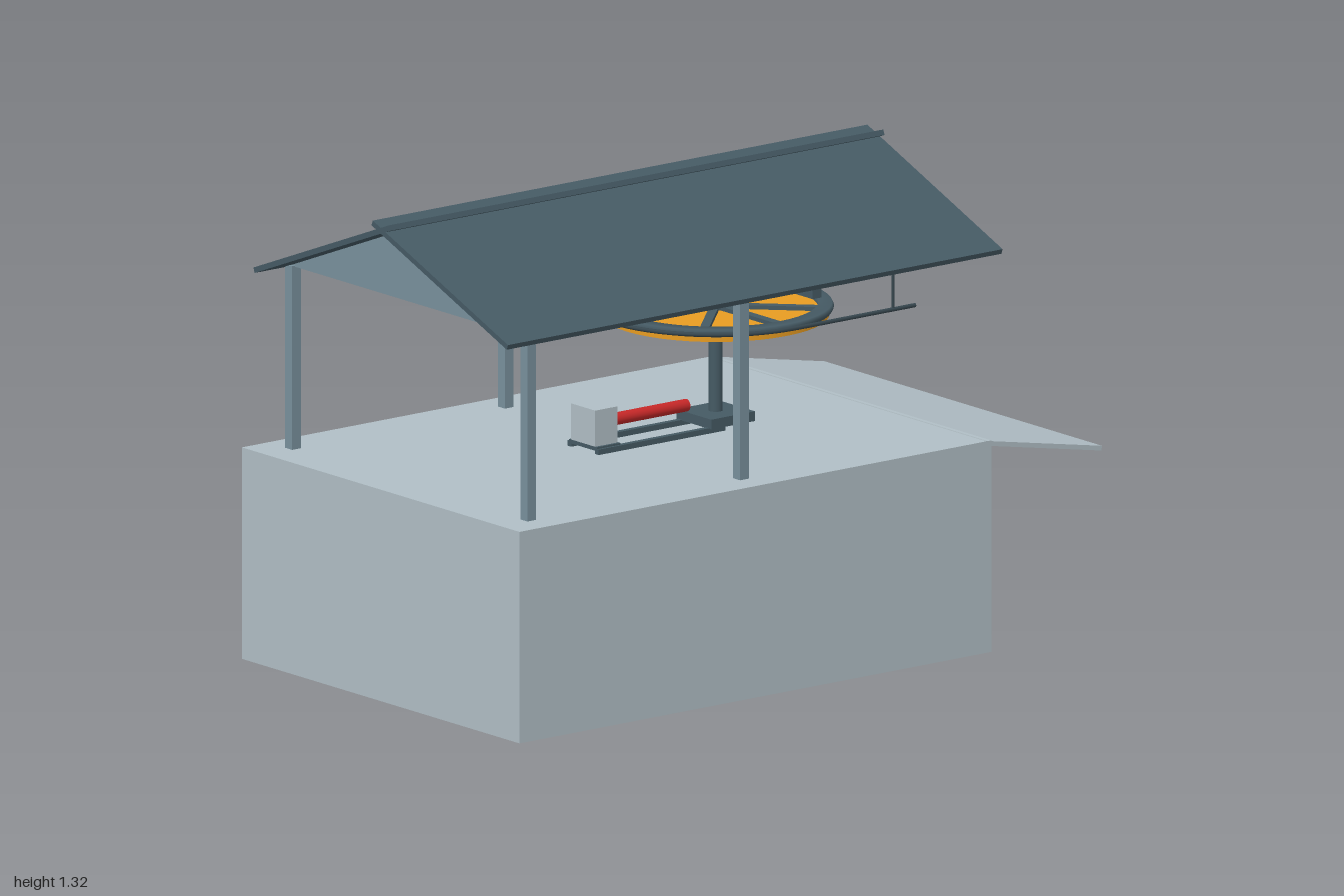
import * as THREE from 'three';

const mat = (name, color, side = THREE.FrontSide) => {
  const m = new THREE.MeshStandardMaterial({ color, side });
  m.name = name;
  return m;
};

export function createModel() {
  const model = new THREE.Group();
  model.name = 'liftStation';
  const concrete = mat('concrete', 0xb0bec5);
  const postSteel = mat('postSteel', 0x78909c);
  const darkSteel = mat('darkSteel', 0x455a64);
  const cableSteel = mat('cableSteel', 0x37474f);
  const orange = mat('orange', 0xf9a825);
  const red = mat('red', 0xc62828);

  const add = (name, geo, material, x = 0, y = 0, z = 0, parent = model) => {
    const mesh = new THREE.Mesh(geo, material);
    mesh.name = name;
    mesh.position.set(x, y, z);
    parent.add(mesh);
    return mesh;
  };
  // Box given by its limits on each axis
  const box = (name, material, x0, x1, y0, y1, z0, z1) =>
    add(name, new THREE.BoxGeometry(x1 - x0, y1 - y0, z1 - z0), material,
      (x0 + x1) / 2, (y0 + y1) / 2, (z0 + z1) / 2);

  // Platform and sloping exit ramp
  box('platform', concrete, -0.597, 0.597, 0, 0.585, -0.62, 1);
  const ramp = add('exitRamp', new THREE.BoxGeometry(1.194, 0.013, 0.405), concrete, 0, 0.542, -0.8);
  ramp.rotation.x = -Math.atan2(0.075, 0.395);

  // Roof panels, crossing slightly at the ridge
  const slope = Math.atan(0.396);
  const low = 0.545 / Math.cos(slope), high = 0.037 / Math.cos(slope);
  for (const s of [-1, 1]) {
    const mid = (low - high) / 2;
    const panel = add('roofPanel', new THREE.BoxGeometry(low + high, 0.015, 1.698), darkSteel,
      s * mid * Math.cos(slope), 1.301 - mid * Math.sin(slope), 0.151);
    panel.rotation.z = -s * slope;
  }

  // Front gable
  const tri = new THREE.Shape([
    new THREE.Vector2(-0.525, 1.09), new THREE.Vector2(0.525, 1.09), new THREE.Vector2(0, 1.297),
  ]);
  add('gable', new THREE.ExtrudeGeometry(tri, { depth: 0.012, bevelEnabled: false }), postSteel, 0, 0, 0.89);

  // Roof posts and cross beam
  for (const s of [-1, 1]) {
    for (const z of [0.897, 0.167]) {
      add('roofPost', new THREE.BoxGeometry(0.03, 0.508, 0.03), postSteel, s * 0.506, 0.839, z);
    }
  }
  box('crossBeam', darkSteel, -0.53, 0.53, 1.05, 1.09, -0.09, -0.06);
  box('signBoard', red, -0.165, 0.165, 0.952, 1.04, -0.099, -0.091);

  // Bullwheel: orange disc, raised dark rim, spokes and hub
  const wheel = new THREE.Group();
  wheel.name = 'bullwheel';
  wheel.position.z = -0.15;
  model.add(wheel);
  add('wheelDisc', new THREE.CylinderGeometry(0.305, 0.305, 0.02, 48), orange, 0, 0.9, 0, wheel);
  const rim = new THREE.LatheGeometry([
    [0.275, 0.905], [0.313, 0.905], [0.318, 0.915], [0.313, 0.925], [0.275, 0.925], [0.275, 0.905],
  ].map(([r, y]) => new THREE.Vector2(r, y)), 48);
  add('wheelRim', rim, darkSteel, 0, 0, 0, wheel);
  for (let i = 0; i < 4; i++) {
    const spoke = add('spoke', new THREE.BoxGeometry(0.57, 0.012, 0.025), darkSteel, 0, 0.915, 0, wheel);
    spoke.rotation.y = i * Math.PI / 4;
  }
  add('wheelHub', new THREE.CylinderGeometry(0.04, 0.04, 0.02, 24), darkSteel, 0, 0.917, 0, wheel);
  add('wheelShaft', new THREE.CylinderGeometry(0.019, 0.019, 0.355, 24), darkSteel, 0, 0.7625, 0, wheel);

  // Guide track wrapping the front of the wheel, hung from the roof
  const path = new THREE.CurvePath();
  const v = (x, z) => new THREE.Vector3(x, 0.921, z);
  const arc = [];
  for (let i = 0; i <= 16; i++) {
    const a = Math.PI * i / 16;
    arc.push(v(0.35 * Math.cos(a), -0.15 + 0.35 * Math.sin(a)));
  }
  path.add(new THREE.LineCurve3(v(0.35, -0.555), v(0.35, -0.15)));
  path.add(new THREE.CatmullRomCurve3(arc));
  path.add(new THREE.LineCurve3(v(-0.35, -0.15), v(-0.35, -0.555)));
  add('guideTrack', new THREE.TubeGeometry(path, 72, 0.006, 8), cableSteel);
  for (const s of [-1, 1]) {
    add('trackHanger', new THREE.CylinderGeometry(0.004, 0.004, 0.235, 8), cableSteel, s * 0.35, 1.0385, -0.48);
    const cap = add('trackEnd', new THREE.CircleGeometry(0.006, 8), cableSteel, s * 0.35, 0.921, -0.555);
    cap.rotation.y = Math.PI;
  }

  // Drive unit: frame rails, shaft footing, motor box and red drive tube
  for (const s of [-1, 1]) {
    box('frameRail', darkSteel, s * 0.059 - 0.008, s * 0.059 + 0.008, 0.585, 0.6, -0.13, 0.305);
  }
  box('frameCrossbar', darkSteel, -0.06, 0.06, 0.594, 0.605, 0.225, 0.305);
  box('shaftFooting', darkSteel, -0.075, 0.075, 0.598, 0.625, -0.225, -0.075);
  box('motorBox', concrete, -0.052, 0.052, 0.605, 0.705, 0.228, 0.305);
  const tube = add('driveTube', new THREE.CylinderGeometry(0.017, 0.017, 0.278, 20), red, 0, 0.655, 0.089);
  tube.rotation.x = Math.PI / 2;

  return model;
}
